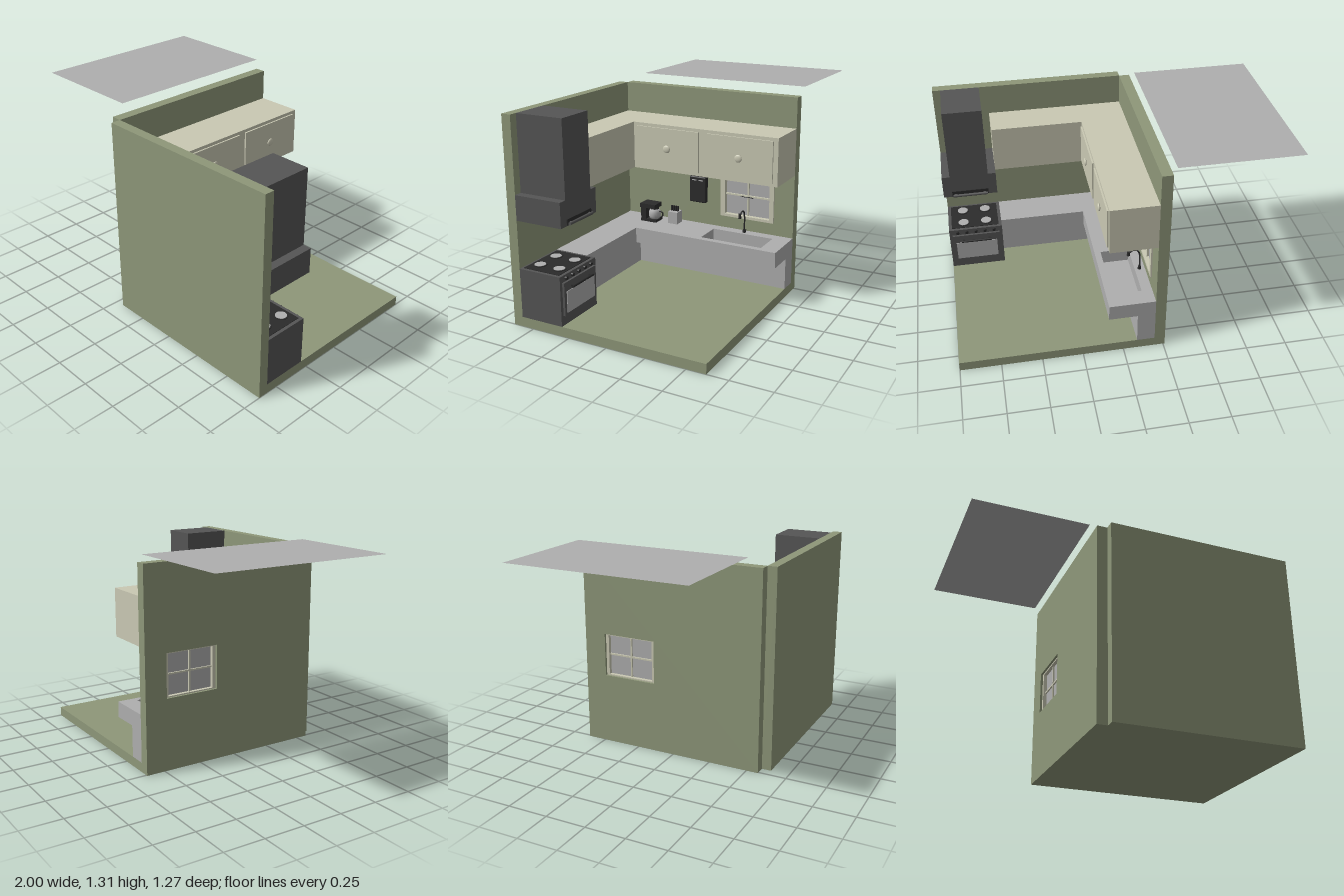
import * as THREE from 'three';
import { RoundedBoxGeometry } from 'three/addons/geometries/RoundedBoxGeometry.js';

export function createModel() {
  const root = new THREE.Group();
  root.name = 'kitchenCorner';
  const mat = (name, color, side = THREE.FrontSide) => {
    const m = new THREE.MeshStandardMaterial({ color, side });
    m.name = name;
    return m;
  };
  const green = mat('sageGreen', 0x8e9779);
  const cream = mat('cream', 0xc9c8b3);
  const gray = mat('lightGray', 0xaeaeae, THREE.DoubleSide);
  const dark = mat('darkGray', 0x555555);
  const black = mat('black', 0x2b2b2b);

  const group = (name, parent = root) => {
    const g = new THREE.Group();
    g.name = name;
    parent.add(g);
    return g;
  };
  const add = (name, geo, m, parent = root) => {
    const mesh = new THREE.Mesh(geo, m);
    mesh.name = name;
    parent.add(mesh);
    return mesh;
  };
  // Box given by its extents along each axis
  const box = (name, m, [x0, x1], [y0, y1], [z0, z1], parent) => {
    const b = add(name, new THREE.BoxGeometry(x1 - x0, y1 - y0, z1 - z0), m, parent);
    b.position.set((x0 + x1) / 2, (y0 + y1) / 2, (z0 + z1) / 2);
    return b;
  };
  const cyl = (name, m, rTop, rBottom, h, x, y, z, parent, axis) => {
    const geo = new THREE.CylinderGeometry(rTop, rBottom, h, 20);
    if (axis === 'x') geo.rotateZ(Math.PI / 2);
    if (axis === 'z') geo.rotateX(Math.PI / 2);
    const c = add(name, geo, m, parent);
    c.position.set(x, y, z);
    return c;
  };
  const poly = pts => new THREE.Shape(pts.map(p => new THREE.Vector2(...p)));
  const rect = (x0, x1, y0, y1) => poly([[x0, y0], [x1, y0], [x1, y1], [x0, y1]]);
  const extrude = (shape, depth) =>
    new THREE.ExtrudeGeometry(shape, { depth, bevelEnabled: false });
  const tube = (name, m, pts, r, parent) => add(name, new THREE.TubeGeometry(
    new THREE.CatmullRomCurve3(pts.map(p => new THREE.Vector3(...p))), 24, r, 8), m, parent);

  // Floor and walls, with a window opening in the side wall
  box('floor', green, [-0.195, 1], [0, 0.06], [-0.62, 0.575]);
  box('frontWall', green, [-0.195, 1], [0, 1.255], [0.575, 0.635]);
  const side = rect(-0.575, 0.62, 0, 1.255);
  side.holes.push(rect(0.13, 0.48, 0.45, 0.725));
  add('sideWall', extrude(side, 0.065).rotateY(Math.PI / 2), green).position.x = -0.26;

  // Loose flat panel beside the room
  const panel = add('flatPanel', new THREE.PlaneGeometry(0.725, 1.125).rotateX(-Math.PI / 2), gray);
  panel.position.set(-0.6375, 1.31, -0.0725);

  // Window
  const win = group('window');
  const frame = rect(0.12, 0.49, 0.44, 0.735);
  frame.holes.push(rect(0.152, 0.46, 0.457, 0.716));
  add('innerTrim', extrude(frame, 0.01).rotateY(Math.PI / 2), cream, win).position.x = -0.195;
  const liner = rect(0.13, 0.48, 0.45, 0.725);
  liner.holes.push(rect(0.152, 0.46, 0.457, 0.716));
  add('liner', extrude(liner, 0.05).rotateY(Math.PI / 2), cream, win).position.x = -0.245;
  box('glass', gray, [-0.222, -0.216], [0.45, 0.725], [-0.48, -0.13], win);
  box('uprightBar', cream, [-0.232, -0.203], [0.457, 0.716], [-0.311, -0.301], win);
  box('crossBar', cream, [-0.232, -0.203], [0.583, 0.593], [-0.46, -0.152], win);

  // Upper cabinets
  const upper = group('upperCabinets');
  const upperL = poly([[-0.195, 0.62], [0.09, 0.62], [0.09, -0.355], [0.66, -0.355],
    [0.66, -0.575], [-0.195, -0.575]]);
  add('cabinetBody', extrude(upperL, 0.295).rotateX(-Math.PI / 2), cream, upper).position.y = 0.77;
  for (const z of [0.113, -0.373]) {
    box('cabinetDoor', cream, [0.085, 0.1], [0.79, 1.045], [z - 0.217, z + 0.217], upper);
    cyl('knobStem', cream, 0.009, 0.009, 0.012, 0.103, 0.918, z, upper, 'x');
    const knob = add('knob', new THREE.SphereGeometry(0.024, 20, 14), cream, upper);
    knob.scale.x = 0.35;
    knob.position.set(0.107, 0.918, z);
  }

  // Counter with overhanging slab and sink basin
  const counter = group('counter');
  const slab = poly([[-0.195, 0.62], [0.09, 0.62], [0.09, -0.355], [0.65, -0.355],
    [0.65, -0.575], [-0.195, -0.575]]);
  slab.holes.push(rect(-0.13, 0.05, 0.1, 0.51));
  add('counterSlab', extrude(slab, 0.1).rotateX(-Math.PI / 2), gray, counter).position.y = 0.26;
  const base = poly([[-0.195, 0.62], [-0.085, 0.62], [-0.085, -0.43], [0.65, -0.43],
    [0.65, -0.575], [-0.195, -0.575]]);
  add('counterBase', extrude(base, 0.2).rotateX(-Math.PI / 2), gray, counter).position.y = 0.06;
  box('sinkBottom', gray, [-0.13, 0.05], [0.261, 0.27], [-0.51, -0.1], counter);

  // Faucet
  const faucet = group('faucet');
  cyl('faucetFoot', black, 0.009, 0.011, 0.02, -0.16, 0.37, -0.303, faucet);
  tube('faucetNeck', black, [[-0.16, 0.36, -0.303], [-0.16, 0.47, -0.303], [-0.145, 0.505, -0.303],
    [-0.115, 0.51, -0.303], [-0.09, 0.49, -0.303]], 0.005, faucet);
  cyl('faucetHead', black, 0.008, 0.01, 0.03, -0.088, 0.49, -0.303, faucet);
  tube('faucetLever', black, [[-0.16, 0.368, -0.303], [-0.158, 0.372, -0.313],
    [-0.156, 0.385, -0.316]], 0.004, faucet);
  tube('windowLatch', black, [[-0.19, 0.584, -0.262], [-0.185, 0.589, -0.285], [-0.183, 0.586, -0.305],
    [-0.185, 0.589, -0.325], [-0.19, 0.584, -0.348]], 0.003, win);

  // Wall-mounted box with two slots
  const holder = group('wallBox');
  const body = add('wallBoxBody', new RoundedBoxGeometry(0.035, 0.175, 0.12, 2, 0.008), black, holder);
  body.position.set(-0.178, 0.598, 0.035);
  for (const z of [0.058, 0.011])
    box('slot', gray, [-0.164, -0.159], [0.658, 0.665], [z - 0.016, z + 0.016], holder);

  // Knife block
  const knives = group('knifeBlock');
  box('block', gray, [-0.16, -0.09], [0.36, 0.44], [0.15, 0.218], knives);
  for (let i = 0; i < 4; i++) {
    const z = 0.161 + i * 0.0155;
    box('knifeHandle', black, [-0.132, -0.118], [0.44, 0.475], [z - 0.004, z + 0.004], knives);
  }

  // Coffee maker
  const coffee = group('coffeeMaker');
  const cx = -0.1;
  box('makerBase', black, [cx - 0.045, cx + 0.045], [0.36, 0.377], [0.29, 0.405], coffee);
  box('makerColumn', black, [cx - 0.045, cx + 0.045], [0.377, 0.455], [0.365, 0.403], coffee);
  box('makerTop', black, [cx - 0.045, cx + 0.045], [0.452, 0.48], [0.298, 0.41], coffee);
  const jug = [[0, 0.378], [0.034, 0.378], [0.04, 0.395], [0.04, 0.42], [0.03, 0.442], [0, 0.442]];
  add('jug', new THREE.LatheGeometry(jug.map(p => new THREE.Vector2(...p)), 20), gray, coffee)
    .position.set(cx, 0, 0.324);
  cyl('jugLid', black, 0.026, 0.03, 0.01, cx, 0.446, 0.324, coffee);
  const grip = add('jugHandle', new THREE.TorusGeometry(0.02, 0.005, 8, 20).rotateY(Math.PI / 2), black, coffee);
  grip.position.set(cx, 0.41, 0.282);

  // Stove
  const stove = group('stove');
  box('stoveBody', dark, [0.65, 1], [0.06, 0.36], [0.295, 0.575], stove);
  box('cooktop', black, [0.67, 0.98], [0.36, 0.363], [0.315, 0.56], stove);
  for (const x of [0.75, 0.9]) for (const z of [0.37, 0.505]) {
    cyl('burnerRing', black, 0.042, 0.042, 0.004, x, 0.364, z, stove);
    cyl('burner', gray, 0.034, 0.034, 0.004, x, 0.366, z, stove);
  }
  box('ovenDoor', dark, [0.67, 0.98], [0.12, 0.32], [0.281, 0.296], stove);
  box('ovenGlass', gray, [0.69, 0.96], [0.135, 0.265], [0.277, 0.282], stove);
  cyl('ovenHandle', black, 0.007, 0.007, 0.2, 0.825, 0.284, 0.263, stove, 'x');
  for (const x of [0.74, 0.91])
    box('handlePost', black, [x - 0.006, x + 0.006], [0.278, 0.29], [0.263, 0.282], stove);
  for (let i = 0; i < 5; i++)
    cyl('stoveKnob', black, 0.01, 0.01, 0.014, 0.705 + i * 0.06, 0.34, 0.289, stove, 'z');

  // Range hood
  const hood = group('rangeHood');
  box('hoodCanopy', dark, [0.66, 1], [0.65, 0.8], [0.27, 0.575], hood);
  box('chimney', dark, [0.71, 0.95], [0.8, 1.255], [0.27, 0.575], hood);
  box('hoodFilter', black, [0.67, 0.99], [0.647, 0.651], [0.28, 0.565], hood);
  box('controlStrip', black, [0.715, 0.945], [0.655, 0.69], [0.265, 0.271], hood);
  cyl('hoodRail', dark, 0.009, 0.009, 0.22, 0.83, 0.665, 0.254, hood, 'x');
  for (const x of [0.74, 0.92])
    box('railPost', dark, [x - 0.008, x + 0.008], [0.657, 0.673], [0.254, 0.27], hood);
  return root;
}
